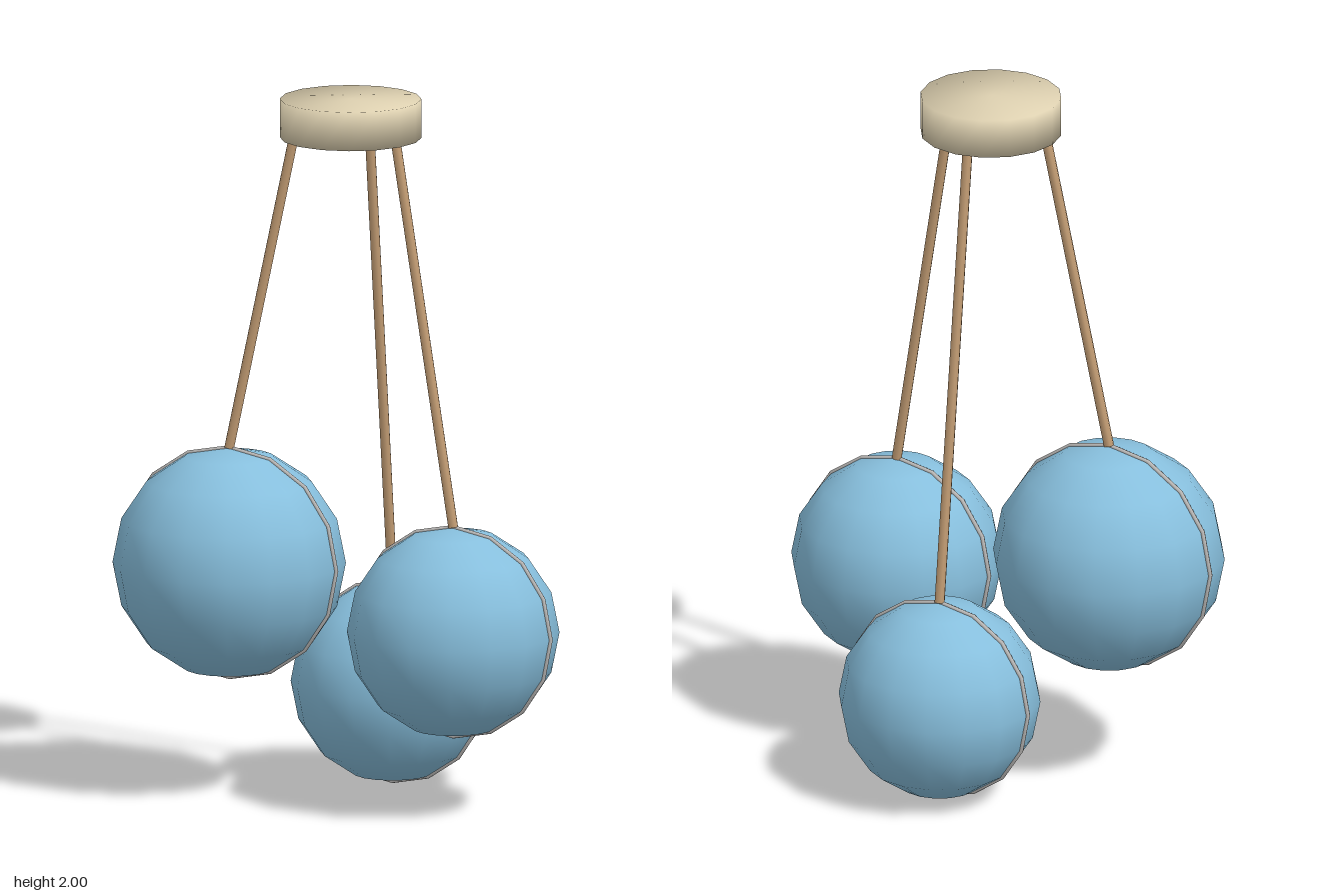
import * as THREE from 'three';
import { mergeVertices } from 'three/addons/utils/BufferGeometryUtils.js';

const material = (name, color) => {
  const m = new THREE.MeshStandardMaterial({ color });
  m.name = name;
  return m;
};

export function createModel() {
  const blue = material('blue glass', 0x87bfdd);
  const cream = material('cream canopy', 0xddd0b0);
  const wood = material('tan rod', 0xc39d74);
  const silver = material('silver ring', 0xbab8b6);

  const group = new THREE.Group();
  group.name = 'pendantLamp';
  const add = (name, geometry, mat, parent = group) => {
    const mesh = new THREE.Mesh(geometry, mat);
    mesh.name = name;
    parent.add(mesh);
    return mesh;
  };

  // Ceiling canopy, with soft shading across its rim
  let disc = new THREE.CylinderGeometry(0.198, 0.198, 0.11, 16);
  disc.deleteAttribute('normal');
  disc.deleteAttribute('uv');
  disc = mergeVertices(disc);
  disc.computeVertexNormals();
  add('canopy', disc, cream).position.set(0.01, 1.945, 0.085);

  // Three globes, each with a seam ring and a slanted rod
  const pendants = [
    { name: 'right', centre: [-0.33, 0.666, 0.155], radius: 0.326, top: [-0.145, 1.895, 0.123] },
    { name: 'left', centre: [0.354, 0.523, 0.155], radius: 0.297, top: [0.165, 1.895, 0.123] },
    { name: 'back', centre: [0.011, 0.291, -0.2], radius: 0.284, top: [0.011, 1.895, -0.042] },
  ];
  for (const { name, centre, radius, top } of pendants) {
    const pendant = new THREE.Group();
    pendant.name = name + 'Pendant';
    group.add(pendant);

    add('globe', new THREE.SphereGeometry(radius, 16, 8), blue, pendant).position.set(...centre);
    add('seamRing', new THREE.TorusGeometry(radius, 0.007, 8, 16), silver, pendant).position.set(...centre);

    const end = new THREE.Vector3(...top);
    const start = new THREE.Vector3(...centre);
    start.y += radius;
    const along = end.clone().sub(start);
    const rod = add('rod', new THREE.CylinderGeometry(0.0145, 0.0145, along.length(), 8), wood, pendant);
    rod.position.copy(start).add(end).multiplyScalar(0.5);
    rod.quaternion.setFromUnitVectors(new THREE.Vector3(0, 1, 0), along.normalize());
  }
  return group;
}
